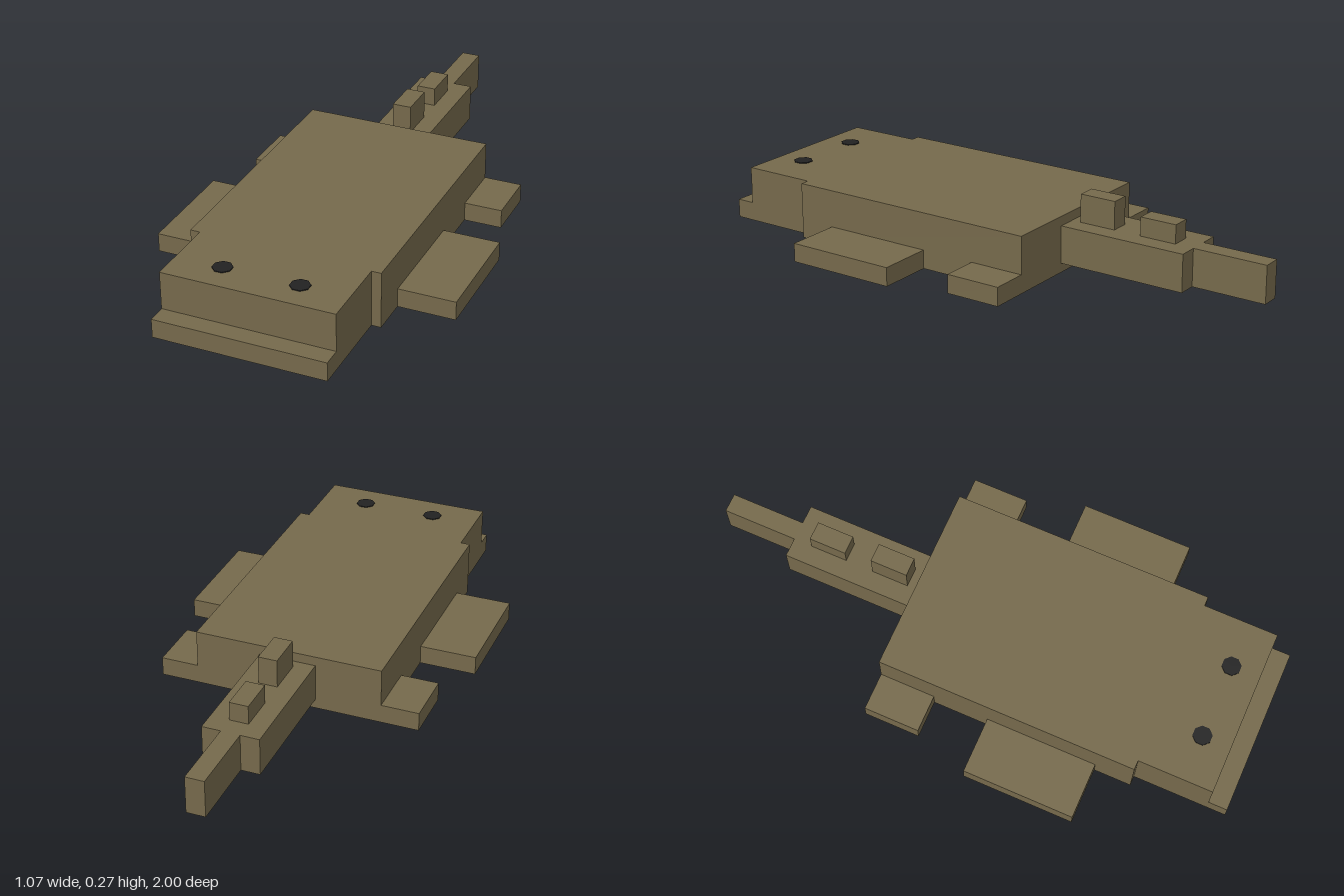
import * as THREE from 'three';

export function createModel() {
  const model = new THREE.Group();
  model.name = 'flatFish';

  const skin = new THREE.MeshStandardMaterial({ color: 0x75694b });
  skin.name = 'brownSkin';
  const dark = new THREE.MeshStandardMaterial({ color: 0x222222 });
  dark.name = 'eyeBlack';

  // Box given by its extents, in fifteenths of a unit
  const U = 1 / 15;
  function block(name, [x0, x1], [y0, y1], [z0, z1]) {
    const geometry = new THREE.BoxGeometry((x1 - x0) * U, (y1 - y0) * U, (z1 - z0) * U);
    const mesh = new THREE.Mesh(geometry, skin);
    mesh.position.set((x0 + x1) * U / 2, (y0 + y1) * U / 2, (z0 + z1) * U / 2);
    mesh.name = name;
    model.add(mesh);
  }

  // Body, head and protruding lower jaw
  block('body', [-5, 5], [0, 3], [-4, 10]);
  block('head', [-4.5, 4.5], [0, 3], [10, 14]);
  block('lowerJaw', [-4.5, 4.5], [0, 1], [14, 15]);

  // Tail in two steps, with two small fins on its back
  block('tailBase', [-1.5, 1.5], [0.5, 2.5], [-11, -4]);
  block('tailTip', [-0.5, 0.5], [0.5, 2.5], [-15, -11]);
  block('frontBackFin', [-0.5, 0.5], [2.5, 4], [-6.5, -4.5]);
  block('rearBackFin', [-0.5, 0.5], [2.5, 3.5], [-10, -8]);

  // Paired flat fins and eyes
  for (const [side, s] of [['left', 1], ['right', -1]]) {
    const span = (inner, outer) => (s > 0 ? [inner, outer] : [-outer, -inner]);
    block(side + 'FrontFin', span(5, 8), [0, 1], [2, 8]);
    block(side + 'RearFin', span(5, 7), [0, 1], [-4, -1]);

    const eye = new THREE.Mesh(new THREE.CylinderGeometry(0.034, 0.034, 0.004, 8), dark);
    eye.rotation.y = Math.PI / 8;
    eye.position.set(s * 2 * U, 3 * U + 0.001, 12.45 * U);
    eye.name = side + 'Eye';
    model.add(eye);
  }

  return model;
}
